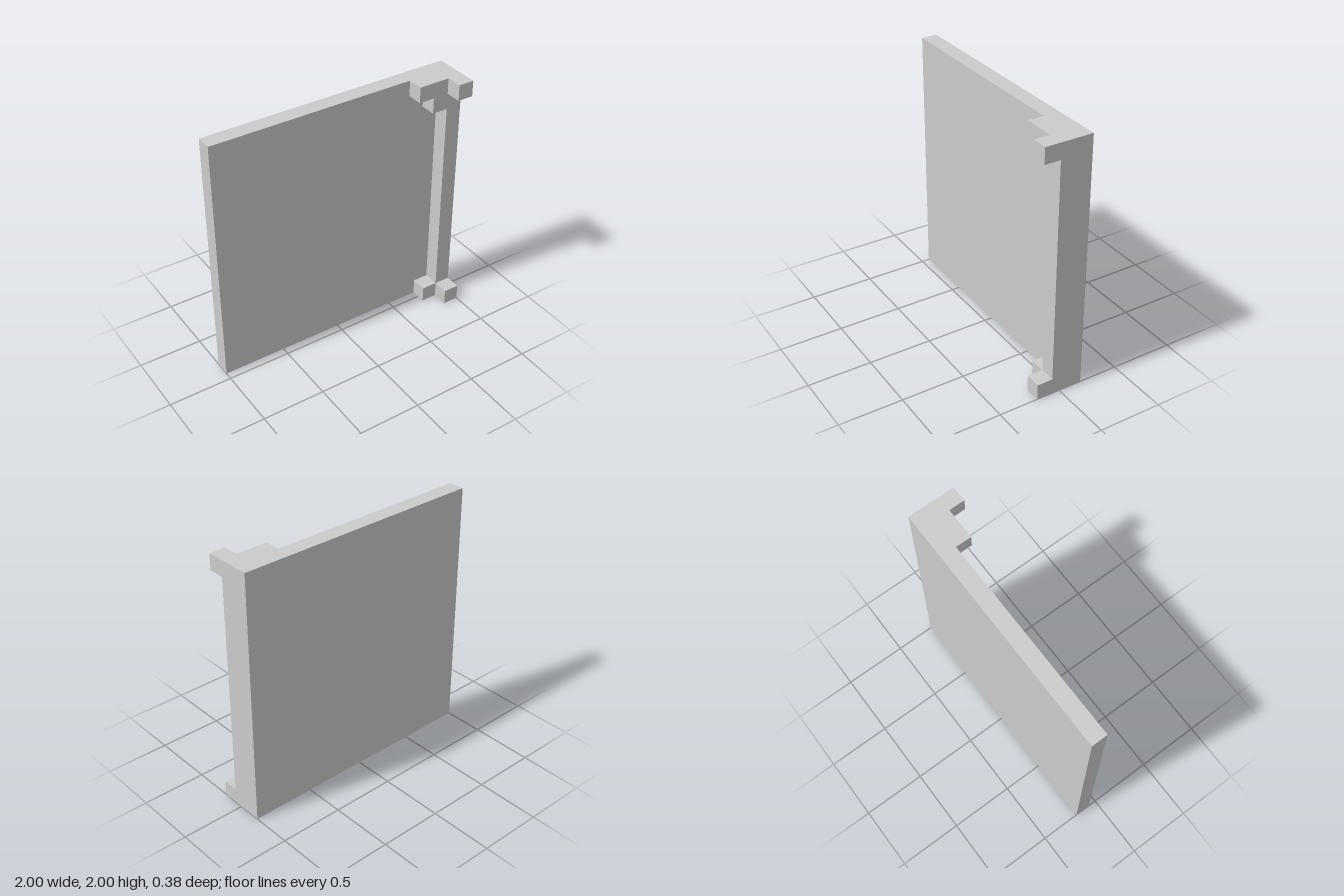
import * as THREE from 'three';

const U = 0.125; // module size: every step and thickness is one unit
const material = new THREE.MeshStandardMaterial({ color: 0xcccccc, flatShading: true });

// Extrudes an outline one unit deep, starting at the given z
function slab(name, points, z) {
  const shape = new THREE.Shape(points.map(([x, y]) => new THREE.Vector2(x * U, y * U)));
  const geometry = new THREE.ExtrudeGeometry(shape, { depth: U, bevelEnabled: false });
  const mesh = new THREE.Mesh(geometry, material);
  mesh.name = name;
  mesh.position.z = z;
  return mesh;
}

const rect = (x0, y0, x1, y1) => [[x0, y0], [x1, y0], [x1, y1], [x0, y1]];

export function createModel() {
  const group = new THREE.Group();
  group.name = 'doorPanel';

  // Flat square back panel
  group.add(slab('panel', rect(-8, 0, 8, 16), -1.5 * U));

  // Edge post with a stepped bracket on top and a short foot below
  group.add(slab('steppedFrame', [
    [6, 0], [8, 0], [8, 16], [5, 16], [5, 15], [6, 15], [6, 14], [7, 14], [7, 1], [6, 1],
  ], -0.5 * U));

  // Cube studs at both ends of the post
  group.add(slab('bottomStud', rect(7, 0, 8, 1), 0.5 * U));
  group.add(slab('topStud', rect(7, 15, 8, 16), 0.5 * U));

  return group;
}
